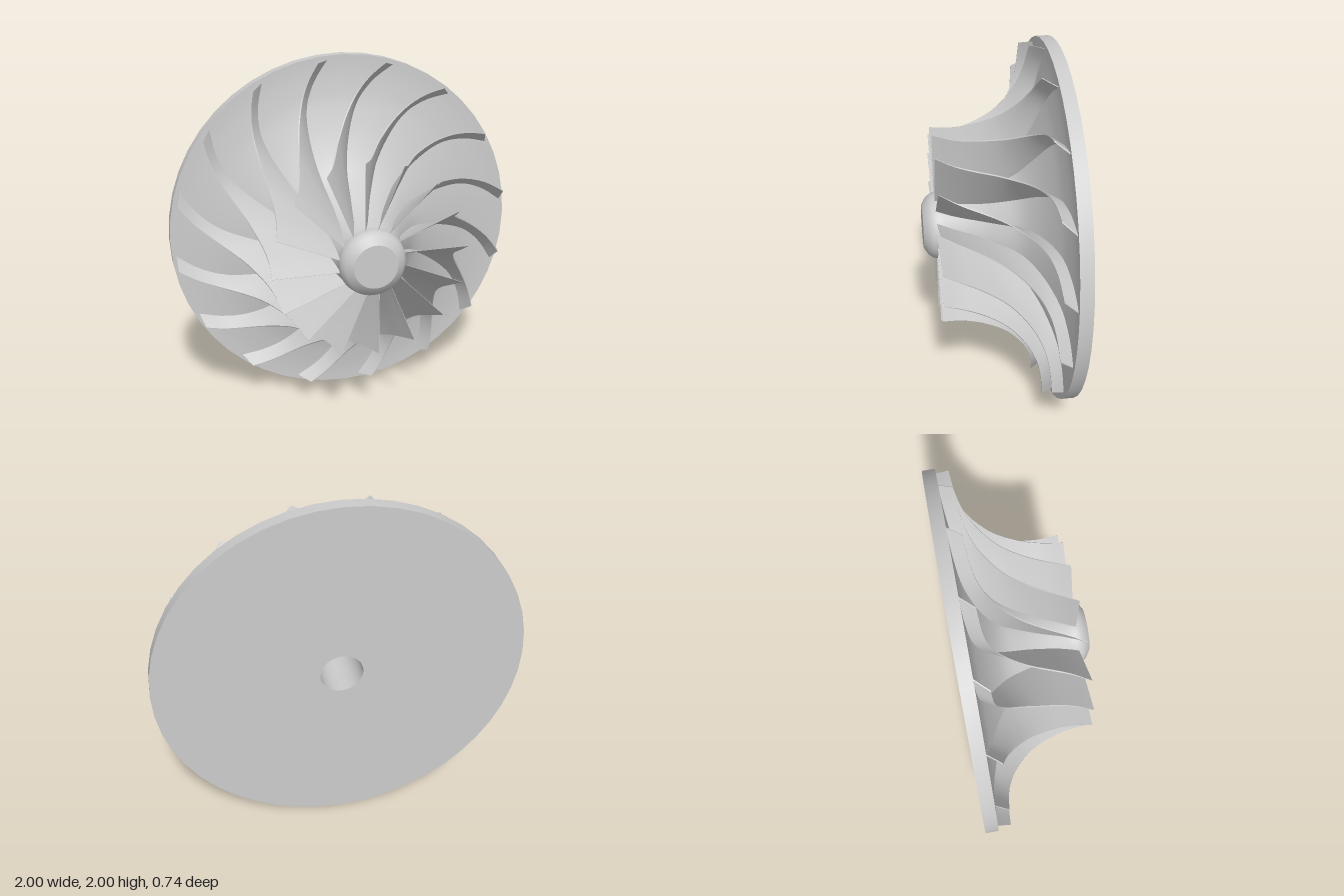
import * as THREE from 'three';
import { toCreasedNormals } from 'three/addons/utils/BufferGeometryUtils.js';

const BLADES = 16, STEPS = 32, SPAN = 6, THICKNESS = 0.006;
const curve = keys => new THREE.CatmullRomCurve3(keys.map(k => new THREE.Vector3(...k)));

// Blade root and tip lines as radius, axial position, wrap angle in degrees
const root = curve([
  [0.175, 0.3, 8.9], [0.197, 0.2, -4], [0.23, 0.1, -12], [0.285, 0, -18], [0.385, -0.12, -22.5],
  [0.53, -0.2, -26.5], [0.72, -0.265, -31.5], [0.85, -0.29, -37], [0.975, -0.302, -44],
]);
const tip = curve([
  [0.54, 0.3, 0], [0.535, 0.2, -6], [0.55, 0.1, -11], [0.585, 0, -16], [0.63, -0.075, -20.5],
  [0.715, -0.155, -26], [0.8, -0.2, -30.5], [0.88, -0.22, -34.5], [0.98, -0.23, -40],
]);

function place(p) {
  const a = THREE.MathUtils.degToRad(p.z);
  return new THREE.Vector3(p.x * Math.cos(a), p.x * Math.sin(a), p.y);
}

// One twisted blade: closed cross-sections from leading to trailing edge
function bladeGeometry() {
  const pos = [], index = [], n = 2 * (SPAN + 1), zAxis = new THREE.Vector3(0, 0, 1);
  for (let i = 0; i <= STEPS; i++) {
    const t = i / STEPS;
    const inner = place(root.getPoint(t)), outer = place(tip.getPoint(t));
    const half = 0.5 * (0.002 + THICKNESS * Math.min(1, t * 5));
    for (let k = 0; k < n; k++) {
      const front = k <= SPAN;
      const j = front ? k : n - 1 - k;
      const p = inner.clone().lerp(outer, j / SPAN);
      p.applyAxisAngle(zAxis, (front ? half : -half) / Math.hypot(p.x, p.y));
      pos.push(p.x, p.y, p.z);
    }
  }
  for (let i = 0; i < STEPS; i++) {
    for (let k = 0; k < n; k++) {
      const a = i * n + k, b = i * n + (k + 1) % n;
      index.push(a, b, a + n, b, b + n, a + n);
    }
  }
  // Leading and trailing edge faces
  const last = STEPS * n;
  for (let j = 0; j < SPAN; j++) {
    const a = j, b = n - 1 - j, c = n - 2 - j, d = j + 1;
    index.push(a, b, c, a, c, d);
    index.push(last + a, last + c, last + b, last + a, last + d, last + c);
  }
  const g = new THREE.BufferGeometry();
  g.setAttribute('position', new THREE.Float32BufferAttribute(pos, 3));
  g.setIndex(index);
  return toCreasedNormals(g, 0.6);
}

// Back disc, flared hub, rounded flat-ended nose and blind bore as one turned body
function hubGeometry() {
  const v = (x, y) => new THREE.Vector2(x, y);
  const flare = root.getPoints(32).reverse().slice(1, -1).map(p => v(p.x, p.y));
  const profile = [
    v(0, 0.3), v(0.115, 0.3), v(0.115, -0.37), v(1, -0.37), v(1, -0.3),
    ...flare,
    v(0.183, 0.295), v(0.178, 0.32), v(0.16, 0.345), v(0.12, 0.37), v(0, 0.37),
  ];
  const g = new THREE.LatheGeometry(profile, 48);
  g.rotateX(Math.PI / 2);
  return toCreasedNormals(g, 0.5);
}

export function createModel() {
  const model = new THREE.Group();
  model.name = 'compressorWheel';
  const material = new THREE.MeshStandardMaterial({ color: 0xcccccc });

  const wheel = new THREE.Group();
  wheel.name = 'wheel';
  wheel.position.y = 1;
  model.add(wheel);

  const hub = new THREE.Mesh(hubGeometry(), material);
  hub.name = 'hubAndBackDisc';
  wheel.add(hub);

  const blades = new THREE.Group();
  blades.name = 'blades';
  const geometry = bladeGeometry();
  for (let i = 0; i < BLADES; i++) {
    const blade = new THREE.Mesh(geometry, material);
    blade.name = 'blade';
    blade.rotation.z = THREE.MathUtils.degToRad(94.3) + i * 2 * Math.PI / BLADES;
    blades.add(blade);
  }
  wheel.add(blades);
  return model;
}
